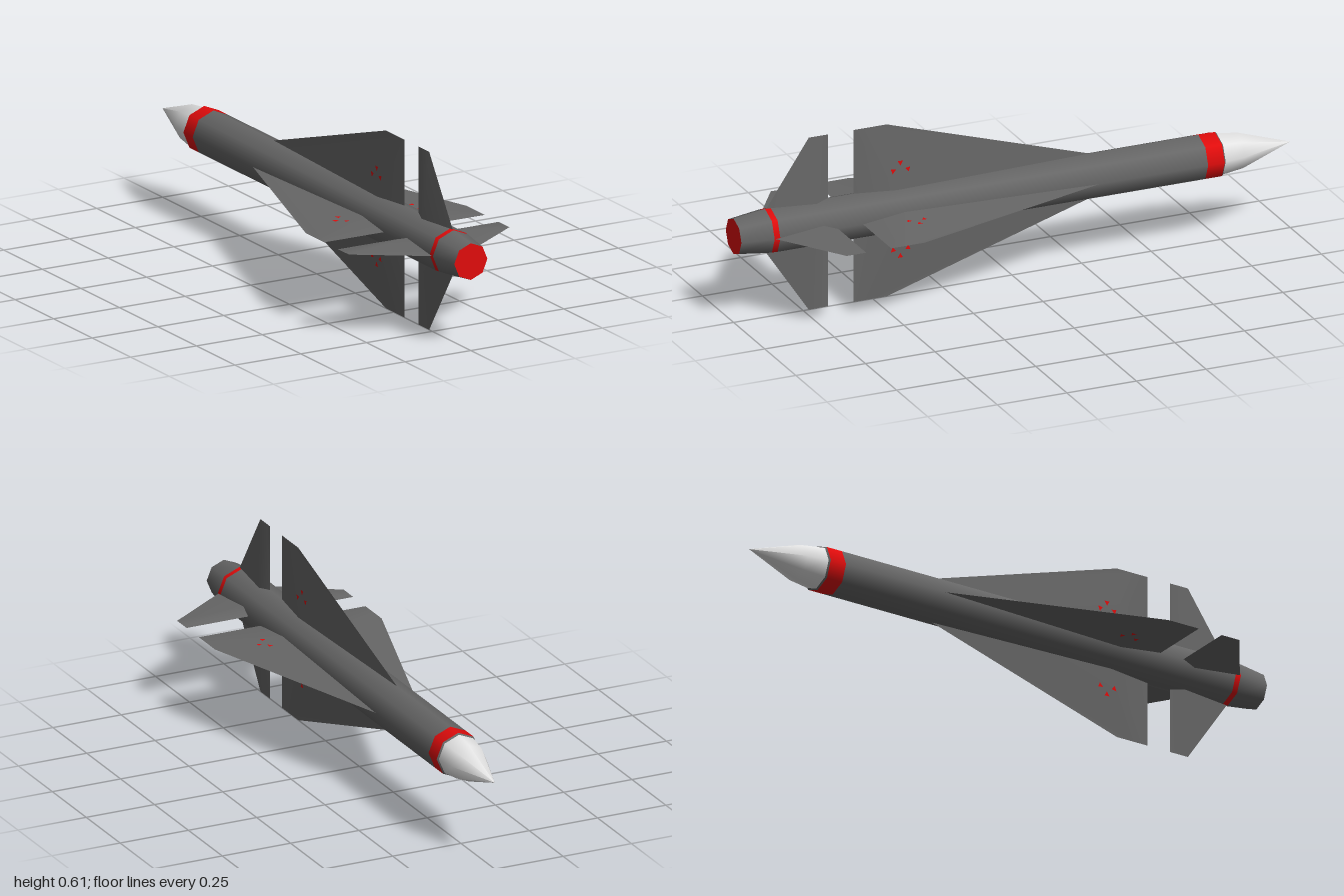
import * as THREE from 'three';

const mat = (name, color, side = THREE.FrontSide) => {
  const m = new THREE.MeshStandardMaterial({ color, side });
  m.name = name;
  return m;
};

const TIP = 0.305, ROOT = 0.06, THICK = 0.0165;
const lerp = THREE.MathUtils.lerp;

// Chord stations [leading, ridge, trailing] in z, at the root and at the tip
const WING = { root: [-0.34, 0.41, 0.57], tip: [0.45, 0.51, 0.57] };
const FIN = { root: [0.66, 0.71, 0.895], tip: [0.66, 0.68, 0.73] };

// Half thickness of a blade at span r and chord position z
function halfThickness(blade, r, z) {
  const t = (r - ROOT) / (TIP - ROOT);
  const [a, b, c] = blade.root.map((v, i) => lerp(v, blade.tip[i], t));
  return THICK * (1 - t) * (z < b ? (z - a) / (b - a) : (c - z) / (c - b));
}

// Diamond-section blade: span along +x, thickness along y, chord along z
function bladeGeometry({ root, tip }) {
  const pos = [], index = [];
  for (const s of [1, -1]) {
    const o = pos.length / 3;
    root.forEach((z, i) => pos.push(ROOT, i === 1 ? s * THICK : 0, z));
    tip.forEach((z) => pos.push(TIP, 0, z));
    for (let i = 0; i < 2; i++) {
      const [a, b, c, d] = [o + i, o + i + 1, o + i + 4, o + i + 3];
      if (s > 0) index.push(a, b, c, a, c, d);
      else index.push(a, c, b, a, d, c);
    }
  }
  const g = new THREE.BufferGeometry();
  g.setAttribute('position', new THREE.Float32BufferAttribute(pos, 3));
  g.setIndex(index);
  g.computeVertexNormals();
  return g;
}

export function createModel() {
  const model = new THREE.Group();
  model.name = 'missile';
  const grey = mat('darkGrey', 0x666666);
  const red = mat('red', 0xe00c0c, THREE.DoubleSide);
  const white = mat('white', 0xe4e4e4);

  const core = new THREE.Group();
  core.name = 'airframe';
  core.position.y = 0.305;
  model.add(core);

  const add = (parent, name, geometry, material) => {
    const m = new THREE.Mesh(geometry, material);
    m.name = name;
    parent.add(m);
    return m;
  };

  // Eight-sided body sections, each a list of [radius, z] from nose to tail
  const section = (name, material, points) => {
    const g = new THREE.LatheGeometry(points.map(([r, z]) => new THREE.Vector2(r, z)), 8);
    g.rotateX(Math.PI / 2);
    add(core, name, g, material);
  };
  section('nose', white, [[0, -1], [0.064, -0.81], [0.074, -0.735]]);
  section('noseCollar', grey, [[0.074, -0.735], [0.079, -0.73]]);
  section('noseBand', red, [[0.079, -0.73], [0.079, -0.67]]);
  section('body', grey, [[0.079, -0.67], [0.079, 0.867]]);
  section('tailBand', red, [[0.079, 0.867], [0.078, 0.887]]);
  section('tailCone', grey, [[0.078, 0.887], [0.063, 1]]);

  // Exhaust face
  const exhaust = new THREE.CircleGeometry(0.063, 8);
  exhaust.translate(0, 0, 1);
  add(core, 'exhaust', exhaust, red);

  // Four wings and four tail fins around the body
  const wingGeo = bladeGeometry(WING), finGeo = bladeGeometry(FIN);
  const markGeo = new THREE.CircleGeometry(0.011, 3).rotateX(-Math.PI / 2);
  for (let k = 0; k < 4; k++) {
    const arm = new THREE.Group();
    arm.name = 'finSet' + (k + 1);
    arm.rotation.z = k * Math.PI / 2;
    core.add(arm);
    add(arm, 'wing', wingGeo, grey);
    add(arm, 'tailFin', finGeo, grey);

    // Three small painted marks on both faces of the wing
    for (const [r, z] of [[0.14, 0.378], [0.166, 0.405], [0.14, 0.432]]) {
      for (const s of [1, -1]) {
        const mark = add(arm, 'wingMark', markGeo, red);
        mark.position.set(r, s * (halfThickness(WING, r, z) + 0.001), z);
        mark.rotation.y = Math.atan2(z - 0.405, 0.15 - r);
      }
    }
  }
  return model;
}
